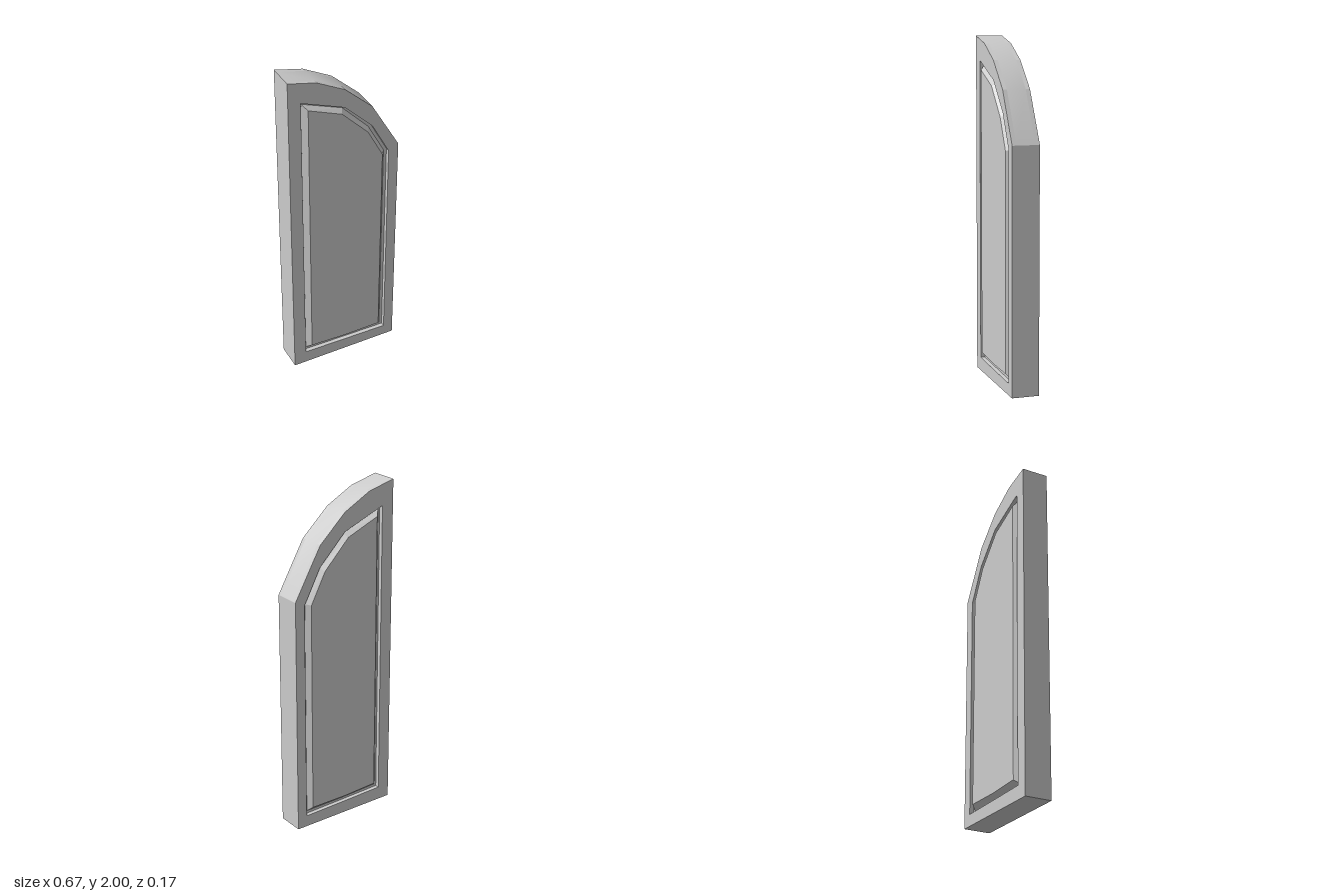
import * as THREE from 'three';
import { toCreasedNormals } from 'three/addons/utils/BufferGeometryUtils.js';

const CORE = 0.055, FACE = 0.08, PANEL = 0.085; // half depths
const loop = (pts) => pts.map(([x, y]) => new THREE.Vector2(x, y));

// All loops run counter-clockwise from the bottom left
const outline = loop([[-0.337, 0], [0.337, 0], [0.337, 1.42], [0.168, 1.715], [0, 1.87], [-0.17, 1.96], [-0.337, 2]]);
const opening = loop([[-0.262, 0.08], [0, 0.074], [0.276, 0.069], [0.276, 1.39], [0.17, 1.588], [0, 1.758], [-0.262, 1.86]]);
const panelBase = loop([[-0.25, 0.096], [0, 0.087], [0.257, 0.086], [0.257, 1.388], [0.156, 1.576], [-0.005, 1.744], [-0.25, 1.838]]);
const panelTop = loop([[-0.222, 0.122], [0, 0.112], [0.234, 0.114], [0.234, 1.382], [0.14, 1.56], [-0.02, 1.724], [-0.222, 1.806]]);

function extrude(shape, z, depth) {
  return new THREE.ExtrudeGeometry(shape, { depth, bevelEnabled: false }).translate(0, 0, z);
}

// Raised panel: sloped border from the groove floor plus a flat field; side is +1 front, -1 back
function raisedPanel(side) {
  const pos = [];
  const tri = (a, b, c) => {
    for (const p of side > 0 ? [a, b, c] : [a, c, b]) pos.push(p.x, p.y, p.z * side);
  };
  const base = panelBase.map((p) => new THREE.Vector3(p.x, p.y, CORE));
  const top = panelTop.map((p) => new THREE.Vector3(p.x, p.y, PANEL));
  base.forEach((a, i) => {
    const j = (i + 1) % base.length;
    tri(a, base[j], top[j]);
    tri(a, top[j], top[i]);
  });
  for (const [a, b, c] of THREE.ShapeUtils.triangulateShape(panelTop, [])) tri(top[a], top[b], top[c]);
  const geo = new THREE.BufferGeometry();
  geo.setAttribute('position', new THREE.Float32BufferAttribute(pos, 3));
  geo.computeVertexNormals();
  return geo;
}

export function createModel() {
  const group = new THREE.Group();
  group.name = 'archedDoorLeaf';
  const material = new THREE.MeshStandardMaterial({ color: 0xcccccc });
  const add = (name, geo) => {
    const mesh = new THREE.Mesh(geo, material);
    mesh.name = name;
    group.add(mesh);
  };

  // Core slab with a smoothly shaded arch
  add('core', toCreasedNormals(extrude(new THREE.Shape(outline), -CORE, CORE * 2), 0.36));

  // Frames around the openings, and raised panels, on both faces
  const frameShape = new THREE.Shape(outline);
  frameShape.holes.push(new THREE.Path(opening));
  for (const [label, side] of [['front', 1], ['back', -1]]) {
    add(label + 'Frame', extrude(frameShape, side > 0 ? CORE : -FACE, FACE - CORE));
    add(label + 'Panel', raisedPanel(side));
  }
  return group;
}
